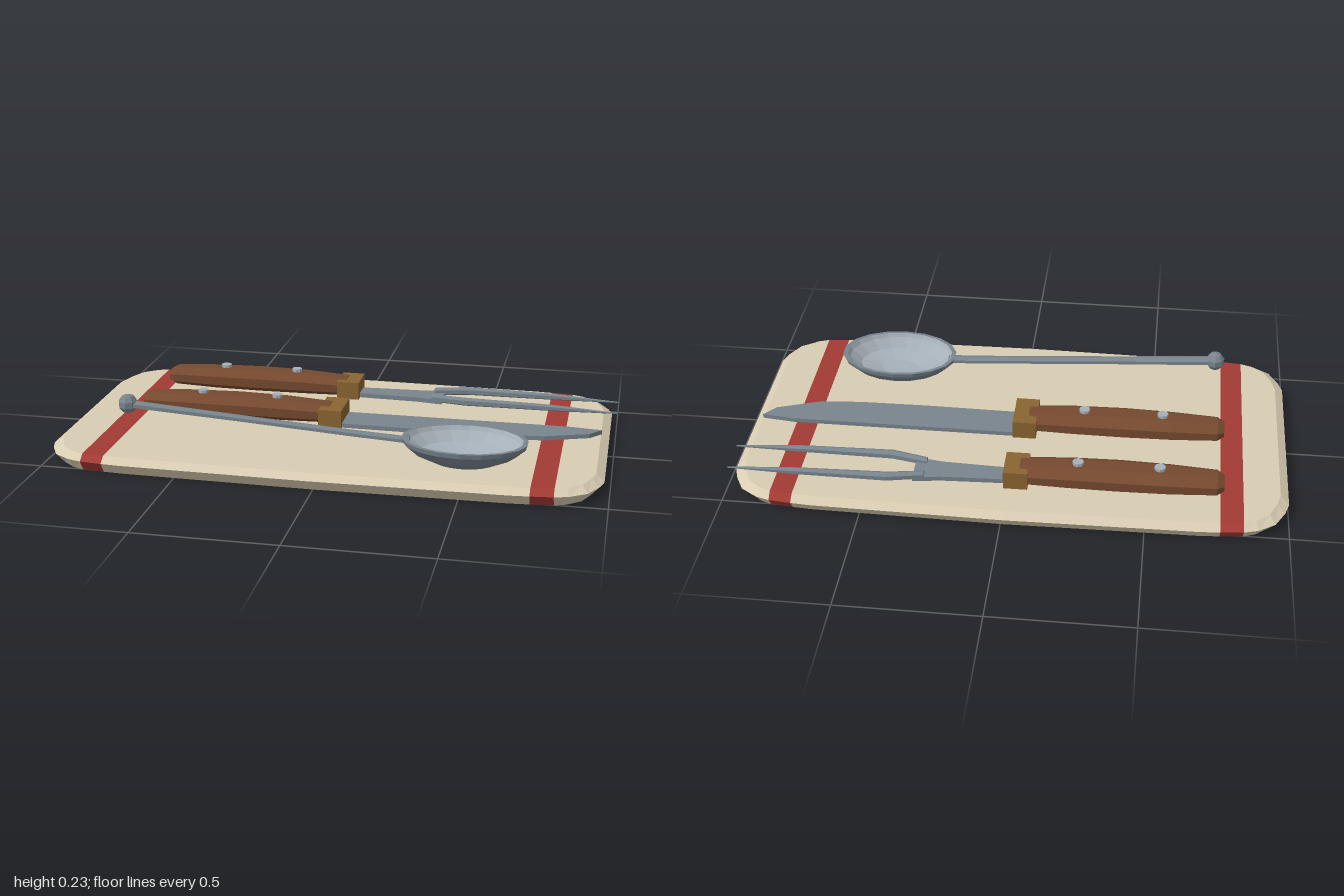
import * as THREE from 'three';

const paint = (name, color) => {
  const m = new THREE.MeshStandardMaterial({ color, flatShading: true });
  m.name = name;
  return m;
};

// Skin a list of rings (each a list of [x, y, z], running from +z over the top)
function loft(rings, capStart = true, capEnd = true) {
  const pos = [], n = rings[0].length;
  const tri = (...p) => p.forEach(v => pos.push(...v));
  for (let i = 0; i < rings.length - 1; i++) {
    for (let j = 0; j < n; j++) {
      const k = (j + 1) % n, a = rings[i], b = rings[i + 1];
      tri(a[j], b[j], b[k]);
      tri(a[j], b[k], a[k]);
    }
  }
  const first = rings[0], last = rings[rings.length - 1];
  for (let j = 1; j < n - 1; j++) {
    if (capStart) tri(first[0], first[j], first[j + 1]);
    if (capEnd) tri(last[0], last[j + 1], last[j]);
  }
  const g = new THREE.BufferGeometry();
  g.setAttribute('position', new THREE.Float32BufferAttribute(pos, 3));
  g.computeVertexNormals();
  return g;
}

// Elliptical bar along x from stations [x, y, z, halfHeight, halfWidth]
const bar = (stations, sides) => loft(stations.map(([x, y, z, h, w]) =>
  Array.from({ length: sides }, (_, j) => {
    const a = (j + 0.5) / sides * Math.PI * 2, s = 1 / Math.cos(Math.PI / sides);
    return [x, y + h * s * Math.sin(a), z + w * s * Math.cos(a)];
  })));

// Flat plate from [x, z] outline, lying between y0 and y0 + thickness
function plate(points, y0, thickness) {
  const shape = new THREE.Shape(points.map(([x, z]) => new THREE.Vector2(x, -z)));
  return new THREE.ExtrudeGeometry(shape, { depth: thickness, bevelEnabled: false })
    .rotateX(-Math.PI / 2).translate(0, y0, 0);
}

export function createModel() {
  const root = new THREE.Group();
  const cloth = paint('cream', 0xd8ccb2), red = paint('red', 0xa23a34);
  const wood = paint('wood', 0x75492f), brass = paint('brass', 0x8a6430);
  const darkSteel = paint('dark steel', 0x78848d), steel = paint('bright steel', 0xa6b0b8);
  const add = (name, geo, mat, parent = root) => {
    const m = new THREE.Mesh(geo, mat);
    m.name = name;
    parent.add(m);
    return m;
  };
  const group = name => {
    const g = new THREE.Group();
    g.name = name;
    root.add(g);
    return g;
  };

  // Tray: rounded slab with bevelled rim, cut across at the stripes
  const tray = group('tray');
  const half = [[0.99, 0.36], [0.975, 0.41], [0.94, 0.475], [0.88, 0.515], [0.83, 0.53], [0.75, 0.538], [0.68, 0.543]];
  const outline = [...half.map(([x, w]) => [-x, w]), [0, 0.553], ...half.slice().reverse()];
  const rings = outline.map(([x, w]) => {
    const pull = Math.sign(x) * 0.03 * Math.max(0, (Math.abs(x) - 0.83) / 0.16);
    const xi = x - pull - 0.01, xo = x - 0.01, wi = w - 0.028;
    return [[xo, 0.04, w], [xi, 0.06, wi], [xi, 0.06, -wi], [xo, 0.04, -w], [xi, 0, -wi], [xi, 0, wi]];
  });
  [['trayLeftEnd', 0, 4, cloth], ['leftStripe', 4, 5, red], ['trayMiddle', 5, 9, cloth],
    ['rightStripe', 9, 10, red], ['trayRightEnd', 10, 14, cloth]].forEach(([name, a, b, mat]) =>
    add(name, loft(rings.slice(a, b + 1), a === 0, b === 14), mat, tray));

  // Riveted wooden handle with a brass guard, shared by knife and fork
  function handle(parent, z, guardWidth) {
    add('handle', bar([
      [-0.77, 0.1, z, 0.022, 0.036], [-0.745, 0.1, z, 0.034, 0.056], [-0.58, 0.101, z, 0.04, 0.066],
      [-0.4, 0.102, z, 0.042, 0.07], [-0.22, 0.101, z, 0.04, 0.068], [-0.05, 0.097, z, 0.034, 0.06]], 8), wood, parent);
    add('guard', new THREE.BoxGeometry(0.086, 0.07, guardWidth).translate(-0.038, 0.093, z), brass, parent);
    for (const x of [-0.543, -0.255])
      add('rivet', new THREE.CylinderGeometry(0.02, 0.02, 0.03, 8).translate(x, 0.138, z), steel, parent);
  }

  // Knife
  const knife = group('knife');
  handle(knife, -0.01, 0.158);
  add('blade', plate([[-0.02, 0.053], [0.35, 0.058], [0.6, 0.055], [0.75, 0.043], [0.91, -0.015],
    [0.952, -0.065], [0.83, -0.08], [-0.02, -0.08]], 0.06, 0.016), darkSteel, knife);

  // Carving fork
  const fork = group('fork');
  const fz = -0.336;
  handle(fork, fz, 0.125);
  add('neck', plate([[-0.02, fz + 0.035], [0.23, fz + 0.045], [0.33, fz + 0.06],
    [0.33, fz - 0.06], [0.23, fz - 0.045], [-0.02, fz - 0.035]], 0.062, 0.017), darkSteel, fork);
  for (const s of [-1, 1])
    add('tine', bar([[0.29, 0.08, fz + s * 0.04, 0.013, 0.014], [0.42, 0.082, fz + s * 0.066, 0.014, 0.016],
      [0.75, 0.08, fz + s * 0.067, 0.011, 0.012], [1, 0.074, fz + s * 0.065, 0.002, 0.002]], 6), darkSteel, fork);

  // Serving spoon: oval bowl with outer shell and bright inside
  const spoon = group('spoon');
  const v = pts => pts.map(([r, y]) => new THREE.Vector2(r, y));
  const oval = pts => new THREE.LatheGeometry(v(pts), 18).scale(1.42, 1, 1).translate(0.493, 0, 0.312);
  add('bowlOutside', oval([[0, 0.06], [0.075, 0.06], [0.125, 0.092], [0.153, 0.126], [0.157, 0.143], [0.145, 0.143]]), darkSteel, spoon);
  add('bowlInside', oval([[0.145, 0.143], [0.138, 0.128], [0.108, 0.095], [0.05, 0.076], [0, 0.074]]), steel, spoon);
  add('stem', bar([[-0.72, 0.19, 0.312, 0.012, 0.021], [-0.3, 0.163, 0.312, 0.01, 0.019],
    [0.1, 0.137, 0.312, 0.01, 0.019], [0.3, 0.126, 0.312, 0.01, 0.02]], 6), darkSteel, spoon);
  add('knob', new THREE.SphereGeometry(0.036, 8, 5).translate(-0.73, 0.191, 0.312), darkSteel, spoon);

  return root;
}
